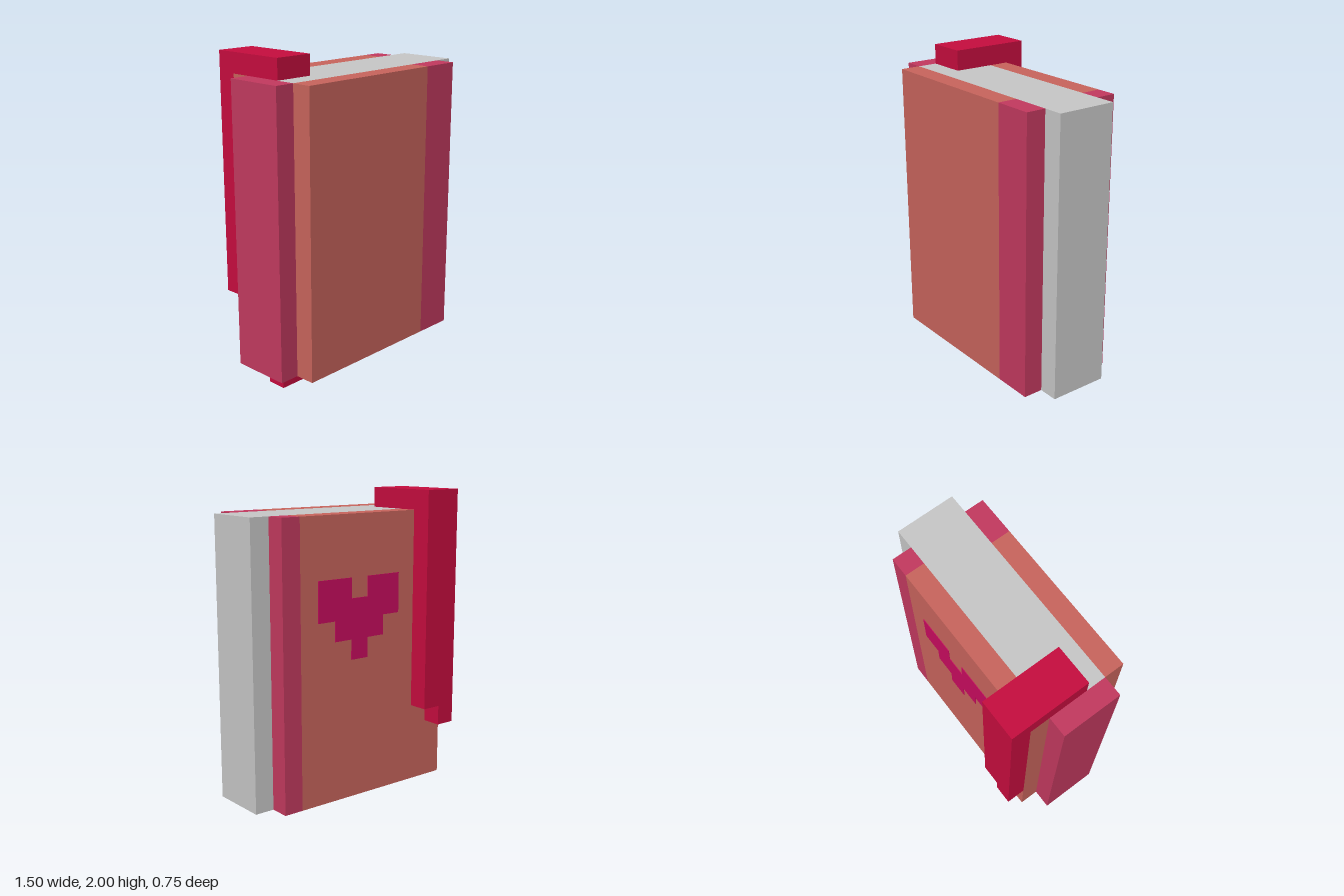
import * as THREE from 'three';

const U = 0.125; // one block unit

function mat(name, color) {
  const m = new THREE.MeshStandardMaterial({ color });
  m.name = name;
  return m;
}

export function createModel() {
  const orange = mat('coverOrange', 0xca655d);
  const pink = mat('trimPink', 0xc43a60);
  const grey = mat('pageGrey', 0xc9c9c9);
  const red = mat('ribbonRed', 0xc80d3f);
  const magenta = mat('heartMagenta', 0xca0c60);

  const book = new THREE.Group();
  book.name = 'book';

  // Box between two corners given in block units
  function block(name, material, [x0, y0, z0], [x1, y1, z1], parent = book) {
    const geo = new THREE.BoxGeometry((x1 - x0) * U, (y1 - y0) * U, (z1 - z0) * U);
    const mesh = new THREE.Mesh(geo, material);
    mesh.position.set((x0 + x1) / 2 * U, (y0 + y1) / 2 * U, (z0 + z1) / 2 * U);
    mesh.name = name;
    parent.add(mesh);
    return mesh;
  }

  // Page block and spine
  block('pages', grey, [-5, 1, -1], [6, 15, 2]);
  block('spine', pink, [-6, 1, -1], [-5, 15, 2]);

  // Covers, each with a pink band along its open edge
  block('frontCover', orange, [-5, 1, 2], [3, 15, 3]);
  block('frontCoverBand', pink, [3, 1, 2], [5, 15, 3]);
  block('backCover', orange, [-5, 1, -2], [4, 15, -1]);
  block('backCoverBand', pink, [4, 1, -2], [5, 15, -1]);

  // Ribbon bookmark: over the top, down the back with a stepped end, and a stub below
  const ribbon = new THREE.Group();
  ribbon.name = 'ribbon';
  book.add(ribbon);
  block('ribbonTop', red, [-5, 15, -3], [-3, 16, 1], ribbon);
  block('ribbonBack', red, [-5, 5, -3], [-3, 15, -2], ribbon);
  block('ribbonTip', red, [-5, 4, -3], [-4, 5, -2], ribbon);
  block('ribbonStub', red, [-5, 0, 0], [-3, 1, 1], ribbon);

  // Pixel heart on the back cover: [bottom, top] of each column
  const heart = new THREE.Group();
  heart.name = 'heart';
  book.add(heart);
  [[10, 12], [9, 12], [8, 11], [9, 12], [10, 12]].forEach(([bottom, top], i) => {
    block('heartColumn', magenta, [i - 2, bottom, -2.03], [i - 1, top, -2], heart);
  });

  return book;
}
